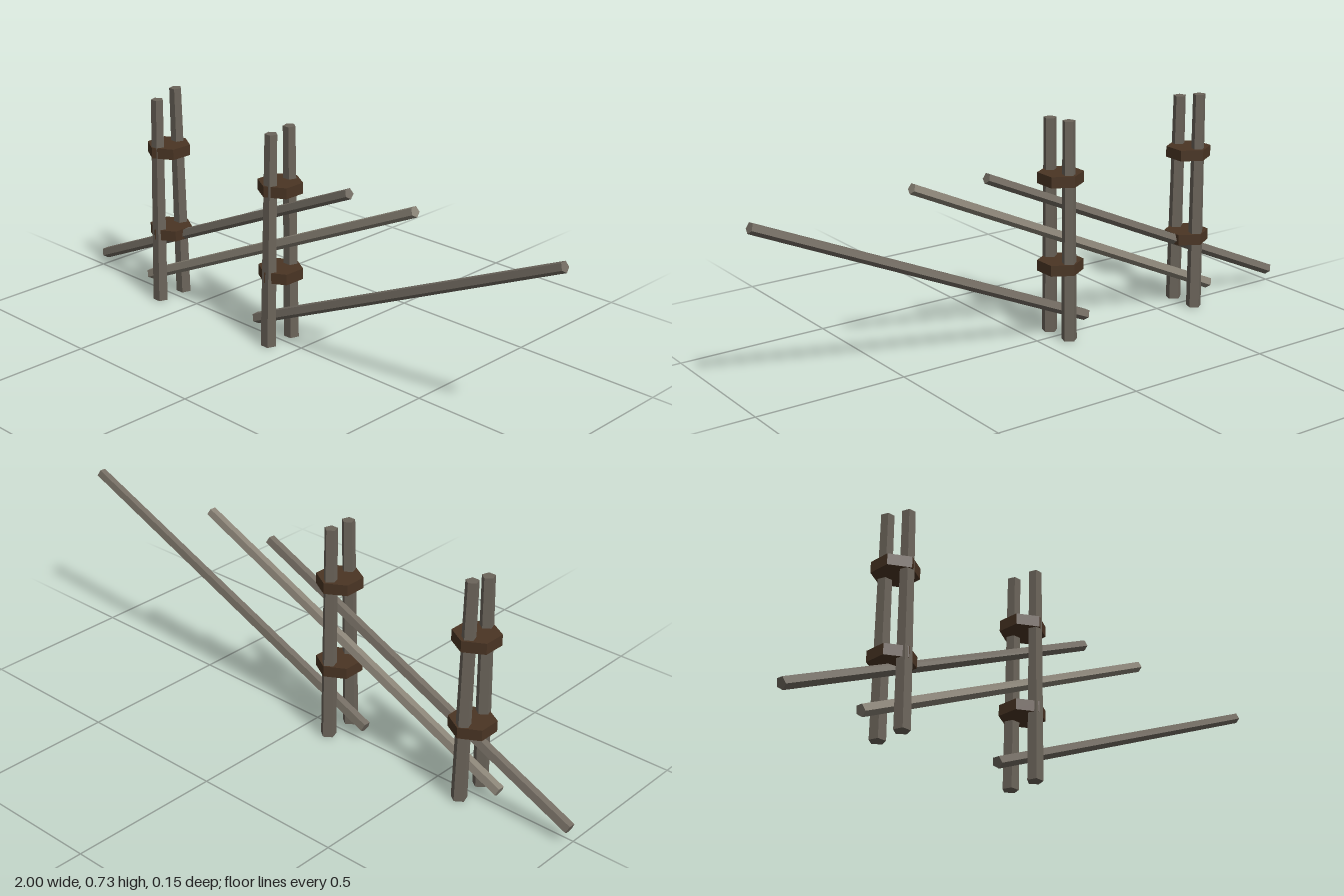
import * as THREE from 'three';

const mat = (color) => new THREE.MeshStandardMaterial({ color, flatShading: true });
const UP = new THREE.Vector3(0, 1, 0);

// Tapered five-sided pole between two points; roll turns its ridge about its axis
function pole(name, a, b, rA, rB, roll, material) {
  const start = new THREE.Vector3(...a);
  const end = new THREE.Vector3(...b);
  const dir = end.clone().sub(start);
  const geo = new THREE.CylinderGeometry(rB, rA, dir.length(), 5, 1, false, roll);
  const mesh = new THREE.Mesh(geo, material);
  mesh.name = name;
  mesh.position.copy(start).add(end).multiplyScalar(0.5);
  mesh.quaternion.setFromUnitVectors(UP, dir.normalize());
  return mesh;
}

export function createModel() {
  const fence = new THREE.Group();
  fence.name = 'slantedRailFence';
  const postWood = mat(0x6b645a);
  const railWood = mat(0x736c62);
  const paleWood = mat(0x8a8376);
  const binding = mat(0x4a3524);

  // Two pairs of upright posts, leaning slightly together
  const pairs = [
    { x: -0.62, frontTop: [-0.617, 0.71], backTop: [-0.625, 0.73] },
    { x: -0.092, frontTop: [-0.084, 0.715], backTop: [-0.092, 0.72] },
  ];
  for (const { x, frontTop, backTop } of pairs) {
    const pair = new THREE.Group();
    pair.name = 'postPair';
    pair.add(
      pole('frontPost', [x, 0, 0.056], [...frontTop, 0.046], 0.026, 0.021, Math.PI, postWood),
      pole('backPost', [x, 0, -0.049], [...backTop, -0.041], 0.026, 0.021, Math.PI, postWood),
    );
    // Hexagonal bindings around both posts
    for (const y of [0.24, 0.53]) {
      const band = new THREE.Mesh(new THREE.CylinderGeometry(0.074, 0.074, 0.036, 6), binding);
      band.name = 'binding';
      band.position.set(x, y, 0);
      pair.add(band);
    }
    fence.add(pair);
  }

  // Three slanted rails held between the posts
  const roll = Math.PI - 0.26;
  fence.add(
    pole('upperRail', [-0.992, 0.045, -0.011], [0.195, 0.577, -0.008], 0.02, 0.018, roll, railWood),
    pole('middleRail', [-0.728, 0.045, 0.004], [0.46, 0.59, -0.006], 0.02, 0.018, roll, paleWood),
    pole('lowerRail', [-0.2, 0.045, 0.005], [0.992, 0.571, -0.012], 0.02, 0.018, roll, railWood),
  );
  return fence;
}
